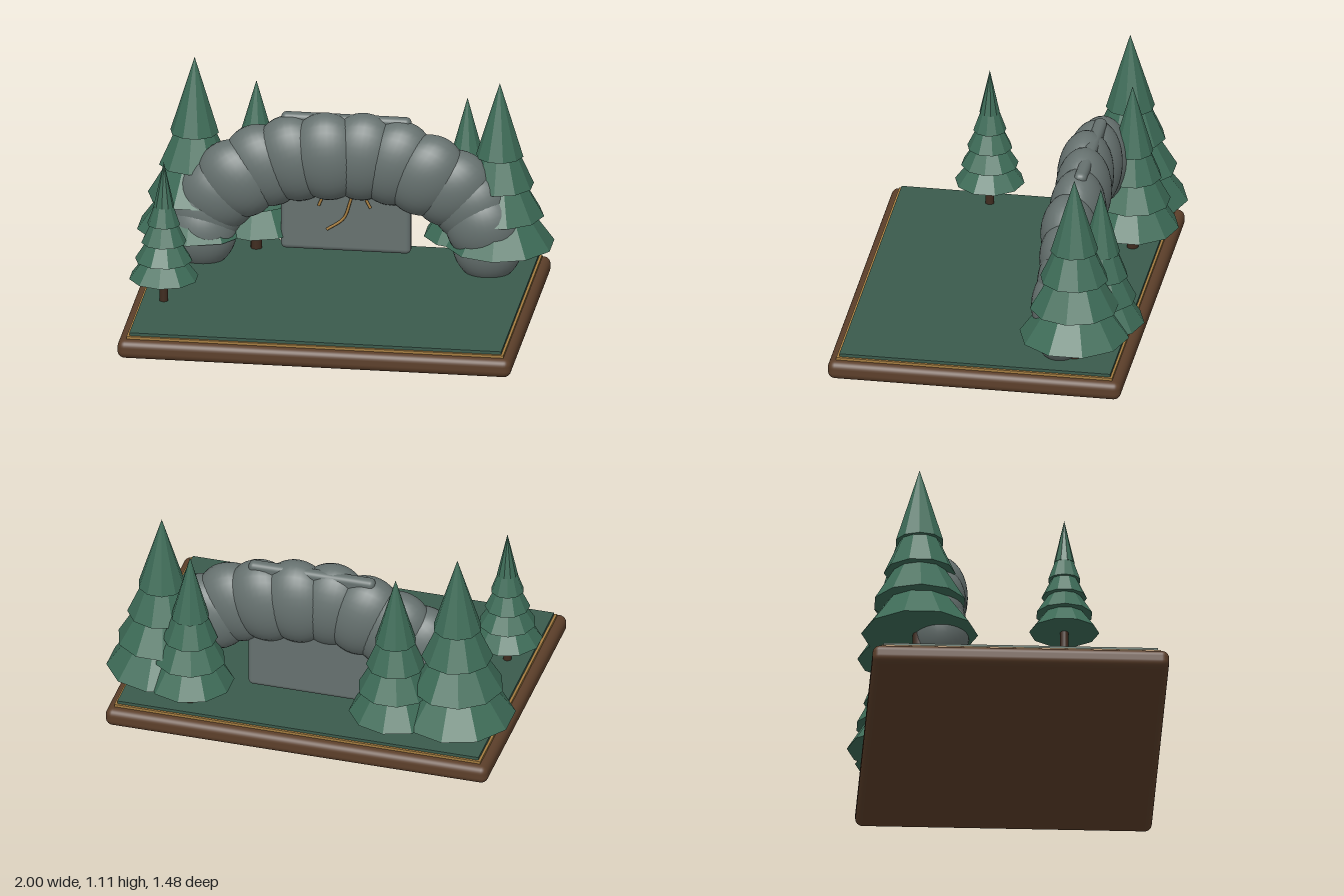
import * as THREE from 'three';
import { RoundedBoxGeometry } from 'three/addons/geometries/RoundedBoxGeometry.js';

const mat = (color, flatShading = false) => new THREE.MeshStandardMaterial({ color, flatShading });

export function createModel() {
  const model = new THREE.Group();
  const wood = mat(0x5c3f2a), gold = mat(0xa47c40), grass = mat(0x3a5a4c);
  const rock = mat(0x66716f), needles = mat(0x3d6b57, true), bark = mat(0x3f2b1f);

  const add = (parent, name, geometry, material, x = 0, y = 0, z = 0) => {
    const mesh = new THREE.Mesh(geometry, material);
    mesh.name = name;
    mesh.position.set(x, y, z);
    parent.add(mesh);
    return mesh;
  };

  // Display base: rounded wooden plinth, gilt trim and grass panel
  const base = new THREE.Group();
  base.name = 'base';
  model.add(base);
  add(base, 'plinth', new RoundedBoxGeometry(1.9, 0.092, 1.42, 4, 0.035), wood, 0.005, 0.046, 0.022);
  add(base, 'trim', new THREE.BoxGeometry(1.82, 0.02, 1.338), gold, 0.007, 0.095, 0.024);
  add(base, 'ground', new THREE.BoxGeometry(1.796, 0.02, 1.314), grass, 0.007, 0.11, 0.023);

  // Cave arch: overlapping boulders, tilted to follow the curve
  const arch = new THREE.Group();
  arch.name = 'caveArch';
  model.add(arch);
  const boulder = new THREE.SphereGeometry(1, 32, 20);
  const count = 14;
  for (let i = 0; i < count; i++) {
    const a = (i / (count - 1)) * Math.PI, s = Math.sin(a);
    const stone = add(arch, 'boulder' + (i + 1), boulder, rock,
      0.69 * Math.cos(a) + 0.003, 0.26 + 0.415 * s, -0.36 + 0.012 * Math.sin(i * 2));
    stone.scale.set(0.17 + 0.05 * s, 0.185, 0.135);
    stone.rotation.z = a;
  }

  // Flat stone wall closing the cave
  add(model, 'backWall', new RoundedBoxGeometry(0.627, 0.693, 0.06, 4, 0.025), rock, 0.007, 0.528, -0.387);

  // Hanging roots
  const roots = new THREE.Group();
  roots.name = 'roots';
  model.add(roots);
  [
    [[0.05, 0.52], [0.03, 0.44], [0.0, 0.36], [-0.08, 0.3]],
    [[-0.08, 0.52], [-0.1, 0.47], [-0.12, 0.42]],
    [[0.09, 0.52], [0.11, 0.46], [0.13, 0.42]],
  ].forEach((pts, i) => {
    const curve = new THREE.CatmullRomCurve3(pts.map(([x, y]) => new THREE.Vector3(x, y, -0.34)));
    add(roots, 'root' + (i + 1), new THREE.TubeGeometry(curve, 20, 0.007, 8), gold);
  });

  // Conifers: x, z, height, skirt radius, top skirt radius, tiers, tier height
  [
    [-0.735, -0.455, 1.105, 0.28, 0.118, 4, 0.38],
    [-0.445, -0.515, 0.978, 0.225, 0.1, 4, 0.345],
    [0.572, -0.532, 0.937, 0.212, 0.092, 4, 0.335],
    [0.742, -0.432, 1.06, 0.265, 0.115, 4, 0.37],
    [-0.787, 0.235, 0.83, 0.168, 0.05, 5, 0.225],
  ].forEach(([x, z, height, r0, r1, tiers, tierHeight], n) => {
    const tree = new THREE.Group();
    tree.name = 'tree' + (n + 1);
    tree.position.set(x, 0, z);
    model.add(tree);
    const trunk = r0 * 0.125;
    add(tree, 'trunk', new THREE.CylinderGeometry(trunk * 0.9, trunk, 0.2, 12), bark, 0, 0.21, 0);
    for (let i = 0; i < tiers; i++) {
      const t = i / (tiers - 1);
      const bottom = 0.24 + (height - tierHeight - 0.24) * t;
      const cone = new THREE.ConeGeometry(r0 + (r1 - r0) * t, tierHeight, 10);
      add(tree, 'foliage' + (i + 1), cone, needles, 0, bottom + tierHeight / 2, 0).rotation.y = i * 0.3;
    }
  });

  return model;
}
